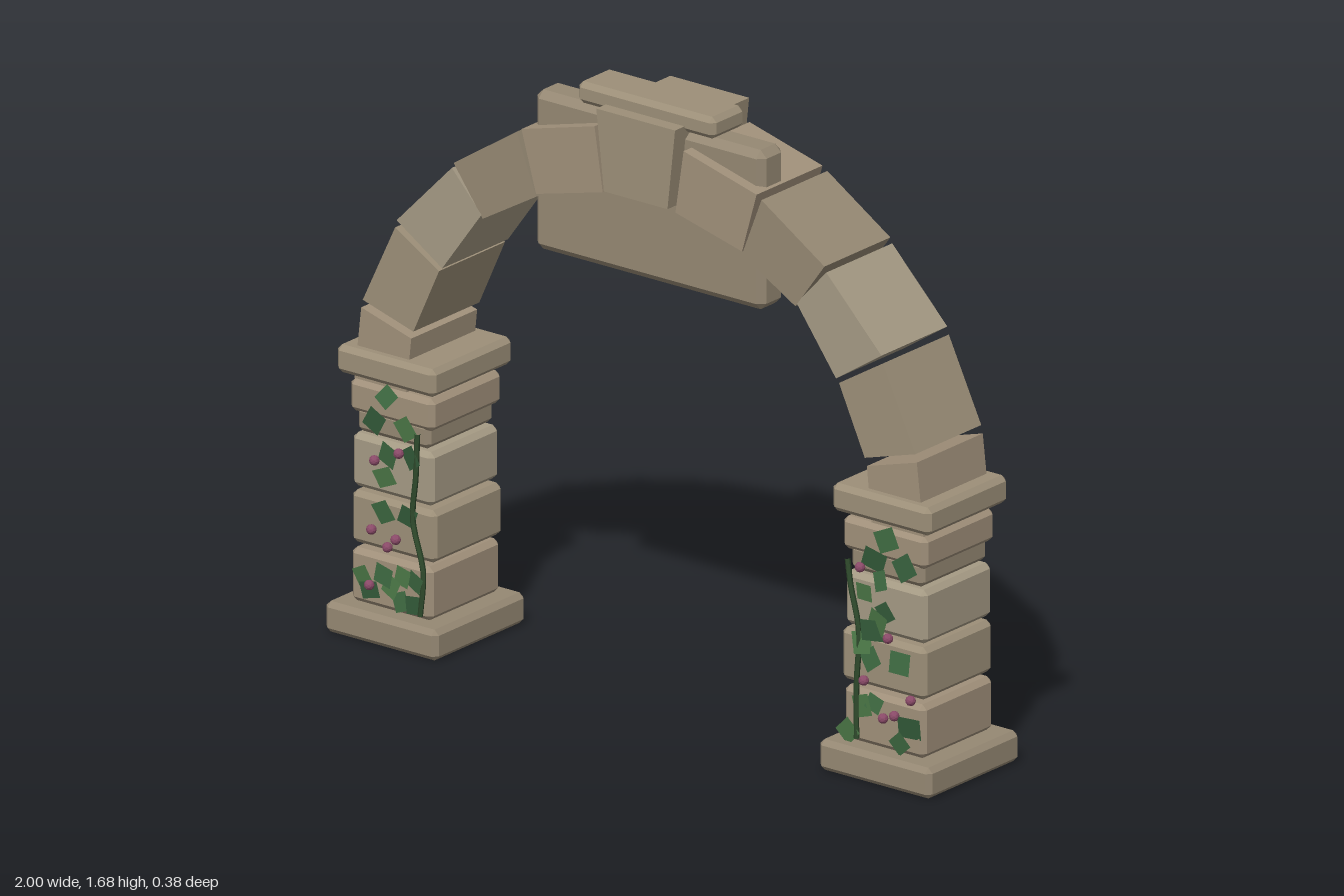
import * as THREE from 'three';
import { ConvexGeometry } from 'three/addons/geometries/ConvexGeometry.js';

const material = (color, extra = {}) =>
  new THREE.MeshStandardMaterial({ color, flatShading: true, ...extra });
const stones = [0x9c8f78, 0xa59a84, 0x958873, 0xa0907a].map((c) => material(c));
const leafMaterials = [0x3f6b42, 0x345c3a, 0x4d7a48].map((c) => material(c, { side: THREE.DoubleSide }));
const stemMaterial = material(0x2f4a2c);
const berryMaterial = material(0x8a4a68);

let seed = 7;
const random = () => (seed = (seed * 16807) % 2147483647) / 2147483647;

function add(parent, name, geometry, mat, x = 0, y = 0, z = 0) {
  const mesh = new THREE.Mesh(geometry, mat);
  mesh.name = name;
  mesh.position.set(x, y, z);
  parent.add(mesh);
  return mesh;
}

// Box with every edge cut at 45 degrees
function chamferBox(w, h, d, c = 0.014) {
  const half = [w / 2, h / 2, d / 2];
  const points = [];
  for (const sx of [-1, 1]) for (const sy of [-1, 1]) for (const sz of [-1, 1]) {
    for (let axis = 0; axis < 3; axis++) {
      const p = half.map((v, i) => (i === axis ? v : v - c));
      points.push(new THREE.Vector3(sx * p[0], sy * p[1], sz * p[2]));
    }
  }
  return new ConvexGeometry(points);
}

// Flat-sided stone from an outline in the xy plane
function wedge(corners, zBack, zFront) {
  const shape = new THREE.Shape(corners.map(([x, y]) => new THREE.Vector2(x, y)));
  const geometry = new THREE.ExtrudeGeometry(shape, { depth: zFront - zBack, bevelEnabled: false });
  return geometry.translate(0, 0, zBack);
}

// Stacked pier: name, x min, x max, y min, y max, depth
const courses = [
  ['base', 0.63, 1, 0, 0.085, 0.38],
  ['block', 0.68, 0.947, 0.087, 0.235, 0.295],
  ['block', 0.67, 0.948, 0.248, 0.392, 0.29],
  ['block', 0.68, 0.947, 0.402, 0.55, 0.285],
  ['neckBlock', 0.695, 0.935, 0.555, 0.625, 0.276],
  ['topBlock', 0.675, 0.952, 0.61, 0.7, 0.295],
  ['cap', 0.655, 0.98, 0.715, 0.792, 0.335],
];

// Arch stones of one side, springing to crown
const voussoirs = [
  [[0.94, 0.7], [0.917, 0.9], [0.752, 0.852], [0.768, 0.7]],
  [[0.912, 0.922], [0.805, 1.147], [0.66, 1.06], [0.745, 0.873]],
  [[0.8, 1.168], [0.618, 1.355], [0.52, 1.248], [0.65, 1.07]],
  [[0.612, 1.37], [0.404, 1.505], [0.34, 1.34], [0.516, 1.238]],
  [[0.388, 1.516], [0.147, 1.58], [0.12, 1.404], [0.34, 1.348]],
];

// Ivy placement as x, y on each pier
const ivy = {
  right: {
    side: -1,
    front: [[-0.82, 0.68], [-0.86, 0.605], [-0.757, 0.605], [-0.815, 0.52], [-0.74, 0.53], [-0.826, 0.457],
      [-0.83, 0.36], [-0.75, 0.366], [-0.9, 0.17], [-0.83, 0.185], [-0.875, 0.135], [-0.767, 0.195],
      [-0.725, 0.19], [-0.73, 0.125], [-0.805, 0.16], [-0.773, 0.125]],
    back: [[-0.83, 0.61], [-0.88, 0.67], [-0.73, 0.34], [-0.82, 0.41], [-0.81, 0.26], [-0.87, 0.14], [-0.78, 0.12]],
    berries: [[-0.853, 0.5], [-0.773, 0.537], [-0.863, 0.307], [-0.81, 0.27], [-0.783, 0.297], [-0.87, 0.152]],
    stem: [[-0.71, 0.1], [-0.7, 0.22], [-0.735, 0.36], [-0.725, 0.48], [-0.72, 0.6]],
  },
  left: {
    side: 1,
    front: [[0.83, 0.67], [0.79, 0.607], [0.757, 0.51], [0.81, 0.553], [0.826, 0.468], [0.8, 0.436],
      [0.874, 0.34], [0.783, 0.41], [0.75, 0.37], [0.778, 0.33], [0.89, 0.607], [0.75, 0.195],
      [0.79, 0.21], [0.906, 0.168], [0.703, 0.115], [0.874, 0.118]],
    back: [[0.875, 0.66], [0.81, 0.62], [0.88, 0.45], [0.765, 0.64], [0.86, 0.18], [0.78, 0.23]],
    berries: [[0.75, 0.58], [0.842, 0.404], [0.762, 0.27], [0.917, 0.25], [0.826, 0.18], [0.863, 0.195]],
    stem: [[0.73, 0.1], [0.73, 0.25], [0.737, 0.4], [0.71, 0.52], [0.7, 0.59]],
  },
};

function createPier(name, { side, front, back, berries, stem }) {
  const pier = new THREE.Group();
  pier.name = name;
  courses.forEach(([part, x0, x1, y0, y1, depth], i) => {
    add(pier, part, chamferBox(x1 - x0, y1 - y0, depth), stones[(i + 2) % 4],
      (side * (x0 + x1)) / 2, (y0 + y1) / 2, 0.002);
  });

  // Climbing ivy on the front and back faces
  const ivyGroup = new THREE.Group();
  ivyGroup.name = 'ivy';
  pier.add(ivyGroup);
  const leafGeometry = new THREE.PlaneGeometry(0.056, 0.05);
  [[front, 0.157], [back, -0.157]].forEach(([spots, z]) => {
    spots.forEach(([x, y], i) => {
      const leaf = add(ivyGroup, 'leaf', leafGeometry, leafMaterials[i % 3], x, y, z);
      leaf.rotation.set((random() - 0.5) * 0.4, (random() - 0.5) * 0.4, random() * Math.PI);
      leaf.scale.setScalar(0.85 + random() * 0.35);
    });
  });
  for (const [x, y] of berries) {
    add(ivyGroup, 'berry', new THREE.IcosahedronGeometry(0.014, 1), berryMaterial, x, y, 0.165);
  }
  const path = new THREE.CatmullRomCurve3(stem.map(([x, y]) => new THREE.Vector3(x, y, 0.154)));
  add(ivyGroup, 'stem', new THREE.TubeGeometry(path, 16, 0.008, 5), stemMaterial);
  return pier;
}

export function createModel() {
  const model = new THREE.Group();
  model.name = 'stoneArch';
  model.add(createPier('rightPier', ivy.right), createPier('leftPier', ivy.left));

  // Ring of arch stones, mirrored about the keystone
  const arch = new THREE.Group();
  arch.name = 'arch';
  model.add(arch);
  for (const side of [-1, 1]) {
    voussoirs.forEach((corners, i) => {
      const outline = corners.map(([x, y]) => [side * x, y]);
      add(arch, 'archStone', wedge(outline, -0.135, 0.139), stones[(i + 3) % 4]);
    });
  }
  const keystone = [[-0.13, 1.637], [-0.105, 1.414], [0.105, 1.414], [0.13, 1.637]];
  add(arch, 'keystone', wedge(keystone, -0.155, 0.153), stones[0]);

  // Hanging panel and its coping
  add(model, 'panel', chamferBox(0.757, 0.44, 0.1, 0.02), stones[2], 0, 1.397, 0.055);
  add(model, 'coping', chamferBox(0.453, 0.06, 0.135), stones[0], -0.002, 1.648, 0.046);
  return model;
}
